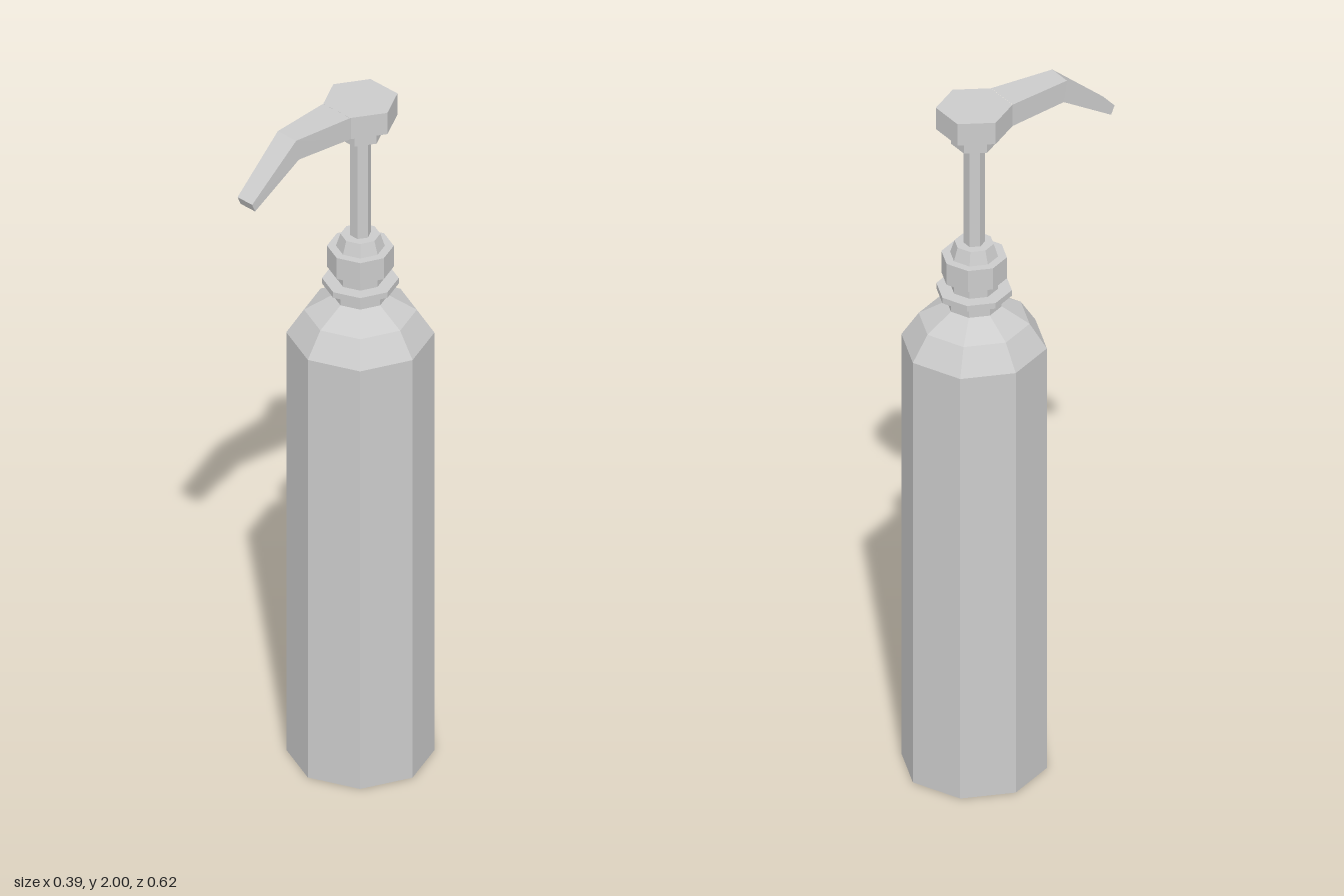
import * as THREE from 'three';

const material = new THREE.MeshStandardMaterial({ color: 0xcccccc, flatShading: true });

function addMesh(parent, name, geometry) {
  const mesh = new THREE.Mesh(geometry, material);
  mesh.name = name;
  parent.add(mesh);
  return mesh;
}

// Eight-sided turned part from [radius, height] pairs, listed bottom to top
function turned(profile) {
  return new THREE.LatheGeometry(profile.map(([r, y]) => new THREE.Vector2(r, y)), 8);
}

// Hexagonal prism between two heights, with corners on the x axis
function hexPrism(radius, y0, y1) {
  const g = new THREE.CylinderGeometry(radius, radius, y1 - y0, 6, 1, false, Math.PI / 2);
  return g.translate(0, (y0 + y1) / 2, 0);
}

// Tapered spout from rectangular sections, open where it meets the head
function spoutGeometry(sections) {
  const positions = [];
  const index = [];
  for (const { w, bottom, top } of sections) {
    positions.push(-w, bottom[1], bottom[0], w, bottom[1], bottom[0]);
    positions.push(w, top[1], top[0], -w, top[1], top[0]);
  }
  for (let i = 0; i < sections.length - 1; i++) {
    for (let j = 0; j < 4; j++) {
      const a = i * 4 + j, b = i * 4 + (j + 1) % 4;
      index.push(a, b, b + 4, a, b + 4, a + 4);
    }
  }
  const e = (sections.length - 1) * 4;
  index.push(e, e + 1, e + 2, e, e + 2, e + 3);
  const g = new THREE.BufferGeometry();
  g.setAttribute('position', new THREE.Float32BufferAttribute(positions, 3));
  g.setIndex(index);
  g.computeVertexNormals();
  return g;
}

export function createModel() {
  const model = new THREE.Group();
  model.name = 'pumpBottle';

  // Everything turned shares the bottle's axis, set back from the centre
  const axis = new THREE.Group();
  axis.name = 'bottleAndPump';
  axis.position.z = -0.117;
  model.add(axis);

  // Bottle with two-step shoulder
  addMesh(axis, 'bottle', turned([
    [0, 0], [0.193, 0], [0.193, 1.28], [0.147, 1.35], [0.073, 1.395], [0, 1.395],
  ]));

  // Neck, thin flange, collar and tapered cap
  addMesh(axis, 'neck', turned([[0.073, 1.39], [0.073, 1.432], [0.063, 1.445], [0.063, 1.485]]));
  addMesh(axis, 'neckFlange', turned([[0, 1.43], [0.1, 1.43], [0.1, 1.447], [0, 1.447]]));
  addMesh(axis, 'collar', turned([[0, 1.482], [0.087, 1.482], [0.087, 1.546], [0, 1.546]]));
  addMesh(axis, 'collarCap', turned([[0.064, 1.545], [0.052, 1.583], [0, 1.583]]));

  // Pump stem, socket and head
  addMesh(axis, 'stem', hexPrism(0.028, 1.57, 1.89));
  addMesh(axis, 'socket', hexPrism(0.06, 1.885, 1.935));
  addMesh(axis, 'pumpHead', hexPrism(0.1, 1.932, 1.997));

  // Spout bending down to the tip
  addMesh(model, 'spout', spoutGeometry([
    { w: 0.05, bottom: [-0.03, 1.932], top: [-0.03, 1.997] },
    { w: 0.034, bottom: [0.142, 1.938], top: [0.152, 2] },
    { w: 0.027, bottom: [0.296, 1.843], top: [0.307, 1.868] },
  ]));

  return model;
}
